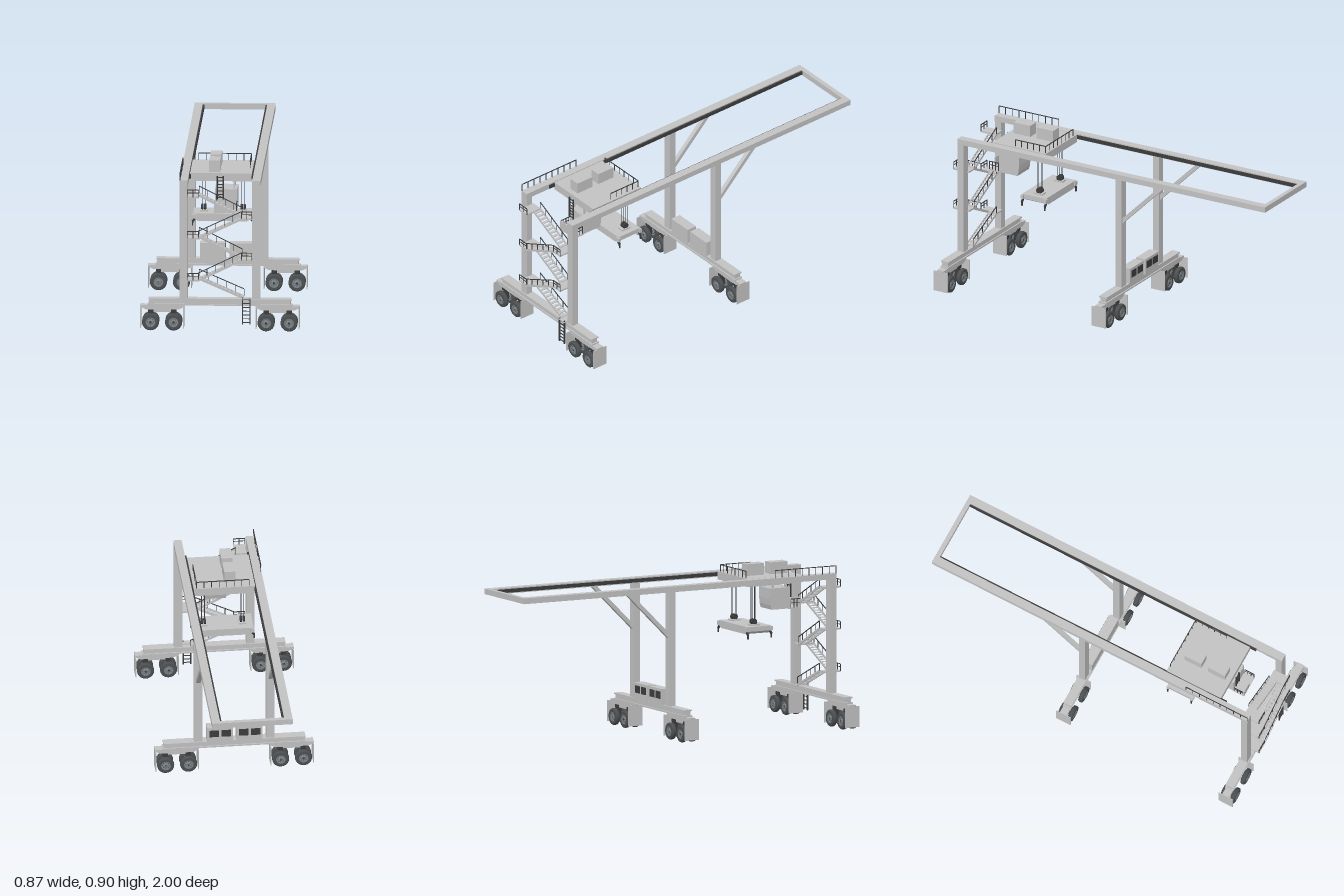
import * as THREE from 'three';

const mat = (name, color, side = THREE.FrontSide) => {
  const m = new THREE.MeshStandardMaterial({ color, side });
  m.name = name;
  return m;
};
const steel = mat('lightSteel', 0xc2c2c2);
const dark = mat('darkMetal', 0x3c3c3c);
const tyreMat = mat('tyreRubber', 0x4c4f51);
const hubMat = mat('wheelHub', 0x7e868a);

const add = (parent, name, geo, m) => {
  const mesh = new THREE.Mesh(geo, m);
  mesh.name = name;
  parent.add(mesh);
  return mesh;
};
const group = (parent, name) => {
  const g = new THREE.Group();
  g.name = name;
  parent.add(g);
  return g;
};
// box given by its limits on each axis
const box = (p, name, m, x0, x1, y0, y1, z0, z1) => {
  const mesh = add(p, name, new THREE.BoxGeometry(x1 - x0, y1 - y0, z1 - z0), m);
  mesh.position.set((x0 + x1) / 2, (y0 + y1) / 2, (z0 + z1) / 2);
  return mesh;
};
// rectangular bar between two points
const bar = (p, name, m, a, b, w = 0.004, h = w) => {
  const A = new THREE.Vector3(...a), B = new THREE.Vector3(...b);
  const mesh = add(p, name, new THREE.BoxGeometry(w, h, A.distanceTo(B)), m);
  mesh.position.copy(A).add(B).multiplyScalar(0.5);
  mesh.lookAt(B);
  return mesh;
};
// side profile in (x, y), extruded along z and centred on it
const slab = (p, name, m, pts, depth) => {
  const g = new THREE.ExtrudeGeometry(new THREE.Shape(pts.map(q => new THREE.Vector2(...q))), { depth, bevelEnabled: false });
  return add(p, name, g.translate(0, 0, -depth / 2), m);
};
// railing with posts along a straight or sloping run
const railing = (p, a, b, h, n, mid = false) => {
  const g = group(p, 'railing');
  const up = (q, d) => [q[0], q[1] + d, q[2]];
  bar(g, 'handrail', dark, up(a, h), up(b, h));
  if (mid) bar(g, 'midRail', dark, up(a, h * 0.6), up(b, h * 0.6), 0.003);
  for (let i = 0; i <= n; i++) {
    const q = a.map((v, k) => v + (b[k] - v) * i / n);
    bar(g, 'post', dark, q, up(q, h), 0.003);
  }
};
const ladder = (p, x0, x1, y0, y1, z, n) => {
  const g = group(p, 'ladder');
  for (const x of [x0, x1]) box(g, 'ladderSide', dark, x - 0.003, x + 0.003, y0, y1, z - 0.004, z + 0.004);
  for (let i = 0; i < n; i++) {
    const y = y0 + (y1 - y0) * (i + 0.5) / n;
    box(g, 'rung', dark, x0, x1, y - 0.002, y + 0.002, z - 0.002, z + 0.002);
  }
};

const lathe = pts => new THREE.LatheGeometry(pts.map(q => new THREE.Vector2(...q)), 28).rotateX(Math.PI / 2);
const tyreGeo = lathe([[0.027, -0.012], [0.04, -0.013], [0.045, -0.01], [0.0465, -0.004],
  [0.0465, 0.004], [0.045, 0.01], [0.04, 0.013], [0.027, 0.012]]);
const hubGeo = lathe([[0, -0.011], [0.01, -0.011], [0.012, -0.006], [0.024, -0.006], [0.028, -0.012],
  [0.028, 0.012], [0.024, 0.006], [0.012, 0.006], [0.01, 0.011], [0, 0.011]]);
const boltGeo = new THREE.CylinderGeometry(0.0018, 0.0018, 0.016, 6).rotateX(Math.PI / 2);

function wheel(p, x, z) {
  const g = group(p, 'wheel');
  g.position.set(x, 0.0465, z);
  add(g, 'tyre', tyreGeo, tyreMat);
  add(g, 'hub', hubGeo, hubMat);
  for (let i = 0; i < 8; i++) {
    const a = i * Math.PI / 4;
    add(g, 'bolt', boltGeo, dark).position.set(0.018 * Math.cos(a), 0.018 * Math.sin(a), 0);
  }
}

// four-wheel truck with end guards
function bogie(p, x, z) {
  const g = group(p, 'bogie');
  g.position.set(x, 0, z);
  slab(g, 'bogieFrame', steel, [[-0.12, 0.128], [-0.09, 0.114], [0.09, 0.114], [0.12, 0.128], [0.12, 0.138], [-0.12, 0.138]], 0.042);
  for (const s of [-1, 1]) {
    const wx = s * 0.0625;
    box(g, 'mudguard', steel, s * 0.117 - 0.002, s * 0.117 + 0.002, 0.015, 0.13, -0.044, 0.044);
    box(g, 'axleMount', dark, wx - 0.014, wx + 0.014, 0.092, 0.115, -0.016, 0.016);
    box(g, 'axleStrut', dark, wx - 0.009, wx + 0.009, 0.035, 0.095, -0.012, 0.012);
    const axle = add(g, 'axle', new THREE.CylinderGeometry(0.007, 0.007, 0.08, 12).rotateX(Math.PI / 2), dark);
    axle.position.set(wx, 0.0465, 0);
    for (const t of [-1, 1]) wheel(g, wx, t * 0.029);
  }
  box(g, 'tieBar', steel, -0.06, 0.06, 0.096, 0.112, -0.006, 0.006);
}

function sill(p, z) {
  const g = group(p, 'sillBeam');
  box(g, 'topFlange', steel, -0.388, 0.388, 0.168, 0.176, z - 0.025, z + 0.025);
  box(g, 'web', steel, -0.385, 0.385, 0.145, 0.169, z - 0.018, z + 0.018);
  box(g, 'bottomFlange', steel, -0.393, 0.393, 0.138, 0.146, z - 0.025, z + 0.025);
  for (const s of [-1, 1]) bogie(g, s * 0.314, z);
}

function stairs(p) {
  const g = group(p, 'stairs');
  const ys = [0.18, 0.287, 0.402, 0.52, 0.631, 0.75];
  for (let i = 0; i < 5; i++) {
    const dir = i % 2 ? 1 : -1;               // odd flights climb to the right of the front
    const zi = i % 2 ? 0.948 : 0.898, zo = zi + 0.046;
    const a = [-dir * 0.12, ys[i]], b = [dir * 0.12, ys[i + 1]];
    if (i === 0) a[0] = 0.13;
    if (dir < 0) b[0] = -0.115; else a[0] = -0.115;
    for (const z of [zi, zo]) bar(g, 'stringer', steel, [...a, z], [...b, z], 0.004, 0.012);
    for (let k = 0; k < 11; k++) {
      const t = (k + 0.5) / 11, x = a[0] + (b[0] - a[0]) * t, y = a[1] + (b[1] - a[1]) * t;
      box(g, 'tread', steel, x - 0.008, x + 0.008, y - 0.002, y + 0.002, zi, zo);
    }
    const rz = dir > 0 ? zo : zi;
    railing(g, [...a, rz], [...b, rz], 0.042, 5);
    // landing at the top of the flight
    const [x0, x1] = dir < 0 ? [-0.176, -0.112] : [0.118, 0.176];
    box(g, 'landing', steel, x0, x1, ys[i + 1] - 0.005, ys[i + 1] + 0.004, 0.898, 0.995);
    railing(g, [x0, ys[i + 1], 0.994], [x1, ys[i + 1], 0.994], 0.04, 2, true);
  }
  ladder(g, 0.124, 0.165, 0.037, 0.185, 0.957, 7);
  box(g, 'ladderTop', steel, 0.118, 0.172, 0.176, 0.182, 0.93, 0.962);
}

function trolley(p) {
  const g = group(p, 'trolley');
  box(g, 'trolleyDeck', steel, -0.17, 0.165, 0.788, 0.832, 0.42, 0.755);
  for (const [z0, z1] of [[0.475, 0.58], [0.62, 0.725]]) box(g, 'hoistHousing', steel, -0.068, -0.007, 0.83, 0.896, z0, z1);
  railing(g, [-0.138, 0.83, 0.428], [0.15, 0.83, 0.428], 0.04, 7);
  railing(g, [0.15, 0.83, 0.43], [0.15, 0.83, 0.62], 0.04, 5);

  // operator cabin: profile in (z, y), turned to run along x
  const cabin = group(g, 'cabin');
  const body = slab(cabin, 'cabinBody', steel, [[0.645, 0.63], [0.76, 0.63], [0.76, 0.747], [0.635, 0.747], [0.635, 0.69], [0.638, 0.655]], 0.122);
  body.rotation.y = -Math.PI / 2;
  body.position.x = 0.026;
  box(cabin, 'cabinDoor', steel, 0.033, 0.08, 0.64, 0.742, 0.757, 0.763);
  box(cabin, 'cabinPlatform', steel, -0.036, 0.087, 0.626, 0.634, 0.755, 0.825);
  box(cabin, 'platformPanel', steel, -0.036, 0.028, 0.63, 0.683, 0.82, 0.825);
  railing(cabin, [-0.034, 0.63, 0.765], [-0.034, 0.63, 0.823], 0.05, 3, true);
  railing(cabin, [0.085, 0.63, 0.765], [0.085, 0.63, 0.823], 0.05, 3, true);
  for (const x of [-0.02, 0.07]) for (const z of [0.66, 0.74]) box(cabin, 'hanger', steel, x - 0.004, x + 0.004, 0.745, 0.79, z - 0.006, z + 0.006);
  ladder(cabin, -0.022, 0.011, 0.69, 0.82, 0.77, 7);

  // spreader on its hoist ropes
  const sp = group(g, 'spreader');
  slab(sp, 'spreaderBody', steel, [[-0.162, 0.54], [-0.135, 0.525], [0.13, 0.525], [0.158, 0.54], [0.158, 0.566], [-0.162, 0.566]], 0.15).position.z = 0.498;
  for (const s of [-1, 1]) {
    const x = s * 0.107;
    box(sp, 'headBlock', steel, x - 0.02, x + 0.02, 0.565, 0.574, 0.465, 0.52);
    for (const d of [-0.008, 0.008]) {
      const sheave = add(sp, 'sheave', new THREE.CylinderGeometry(0.017, 0.017, 0.011, 20).rotateZ(Math.PI / 2), dark);
      sheave.position.set(x + d, 0.586, 0.49);
      for (const z of [0.478, 0.502]) bar(sp, 'rope', dark, [x + d, 0.585, z], [x + d, 0.79, z], 0.0025);
    }
    for (const z of [0.425, 0.57]) {
      box(sp, 'clawArm', steel, s * 0.155 - 0.012, s * 0.155 + 0.012, 0.54, 0.562, z - 0.008, z + 0.008);
      bar(sp, 'claw', dark, [s * 0.153, 0.535, z], [s * 0.166, 0.522, z], 0.01);
      bar(sp, 'clawTip', dark, [s * 0.164, 0.526, z], [s * 0.165, 0.5, z], 0.007);
    }
  }
}

export function createModel() {
  const root = new THREE.Group();
  root.name = 'gantryCrane';
  const zf = 0.925, zr = -0.075;

  // main frame
  for (const z of [zf, zr]) sill(root, z);
  for (const s of [-1, 1]) {
    const side = group(root, s > 0 ? 'leftFrame' : 'rightFrame');
    const x0 = s * 0.1975 - 0.0225, x1 = x0 + 0.045;
    box(side, 'frontLeg', steel, x0, x1, 0.175, 0.81, zf - 0.019, zf + 0.019);
    box(side, 'rearLeg', steel, x0, x1, 0.175, 0.81, zr - 0.019, zr + 0.019);
    box(side, 'girder', steel, x0, x1, 0.801, 0.832, -1, 0.945);
    box(side, 'trolleyRail', dark, s * 0.171 - 0.005, s * 0.171 + 0.005, 0.807, 0.826, -0.975, 0.79);
    bar(side, 'brace', steel, [s * 0.1975, 0.555, -0.085], [s * 0.1975, 0.808, -0.342], 0.024, 0.022);
  }
  box(root, 'endBeam', steel, -0.176, 0.176, 0.801, 0.832, -1, -0.975);
  railing(root, [-0.217, 0.83, 0.565], [-0.217, 0.83, 0.943], 0.044, 9);

  // equipment cabinets with rear vents
  for (const x0 of [-0.152, 0.009]) {
    box(root, 'cabinet', steel, x0, x0 + 0.141, 0.175, 0.263, -0.106, -0.048);
    for (const d of [0.012, 0.077]) box(root, 'cabinetVent', dark, x0 + d, x0 + d + 0.052, 0.208, 0.248, -0.109, -0.104);
  }

  stairs(root);
  trolley(root);
  return root;
}
